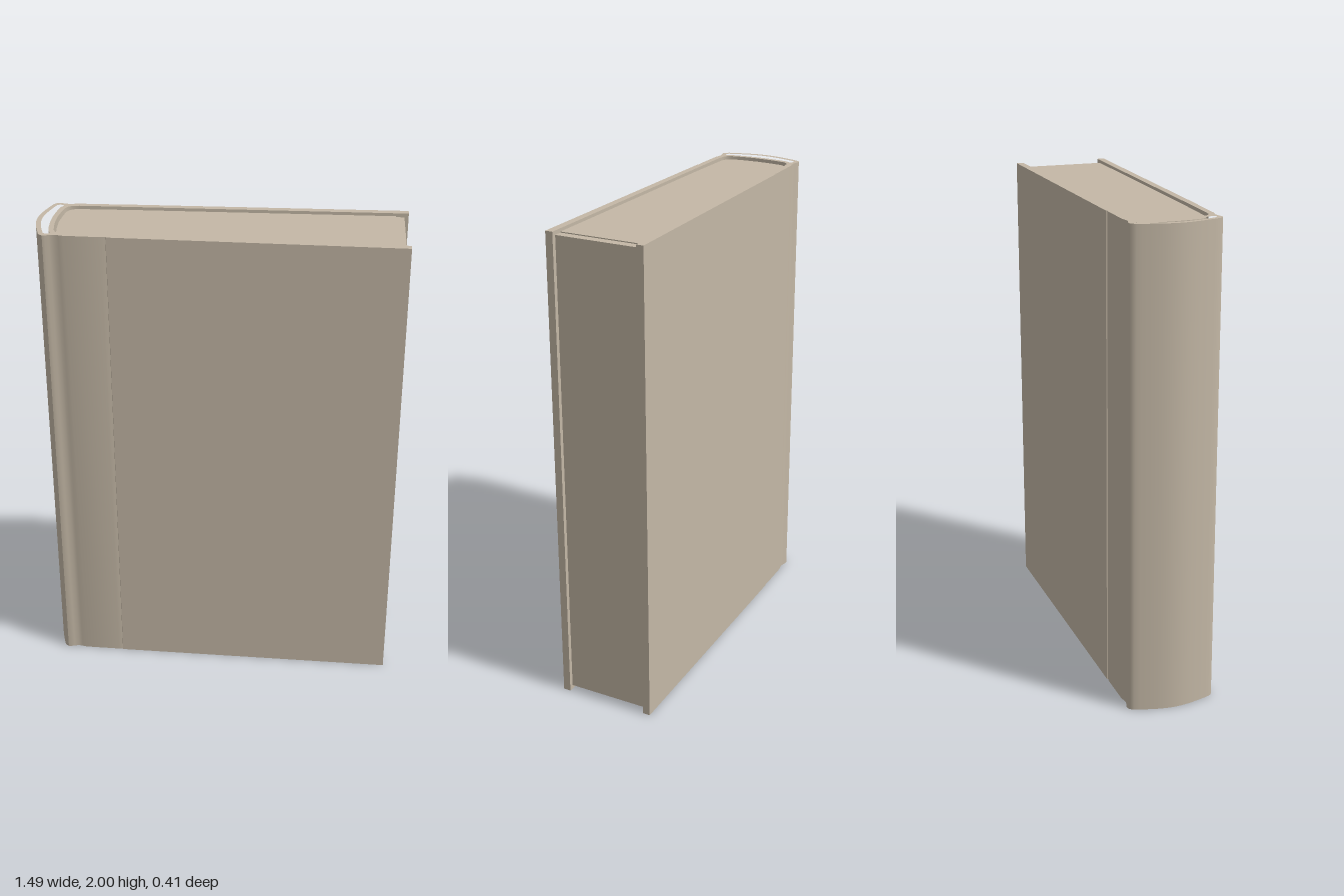
import * as THREE from 'three';
import { toCreasedNormals } from 'three/addons/utils/BufferGeometryUtils.js';

const ZC = -0.003; // slight offset of the centre plane

// Mirror a half outline (starting on the centre line) to a closed loop
function mirrored(half) {
  const other = half.filter(([, z]) => z > 0).reverse().map(([x, z]) => [x, -z]);
  return [...half, ...other].map(([x, z]) => new THREE.Vector2(x, z));
}

// Extrude a plan outline upwards from y0 to y1
function upright(name, shape, y0, y1, material) {
  let geo = new THREE.ExtrudeGeometry(shape, { depth: y1 - y0, bevelEnabled: false });
  geo.rotateX(-Math.PI / 2);
  geo.translate(0, y0, ZC);
  geo = toCreasedNormals(geo, 0.55);
  const mesh = new THREE.Mesh(geo, material);
  mesh.name = name;
  return mesh;
}

export function createModel() {
  const book = new THREE.Group();
  book.name = 'book';
  const tan = new THREE.MeshStandardMaterial({ color: 0xc4b8a6 });
  tan.name = 'tan';

  // Outside of the cover: rounded spine, hinge groove, cloth crease, board
  const outside = [
    [-0.745, 0], [-0.743, 0.035], [-0.737, 0.07], [-0.728, 0.107], [-0.718, 0.141],
    [-0.711, 0.163], [-0.703, 0.177], [-0.692, 0.184], [-0.68, 0.184], [-0.665, 0.179],
    [-0.645, 0.175], [-0.628, 0.178], [-0.61, 0.182], [-0.46, 0.185], [-0.442, 0.182],
    [-0.44, 0.187], [0.742, 0.207],
  ];
  // Inside of the cover, back along the board and round the page block
  const inside = [
    [0.742, 0.176], [-0.6, 0.157], [-0.628, 0.153], [-0.645, 0.143],
    [-0.655, 0.125], [-0.661, 0.09], [-0.666, 0.04],
  ];
  const half = [...outside, ...inside];
  const cover = new THREE.Shape([
    ...half.map(([x, z]) => new THREE.Vector2(x, z)),
    new THREE.Vector2(-0.667, 0),
    ...half.slice(1).reverse().map(([x, z]) => new THREE.Vector2(x, -z)),
  ]);

  // Hollow between the spine and its lining
  const hollow = [
    [-0.725, 0], [-0.723, 0.035], [-0.717, 0.07], [-0.708, 0.107], [-0.699, 0.138],
    [-0.692, 0.158], [-0.682, 0.164], [-0.67, 0.161], [-0.663, 0.153],
    [-0.674, 0.135], [-0.681, 0.095], [-0.686, 0.04], [-0.687, 0],
  ];
  cover.holes.push(new THREE.Path(mirrored(hollow)));
  book.add(upright('cover', cover, 0, 2, tan));

  // Page block with a rounded back
  const pages = mirrored([
    [-0.658, 0], [-0.654, 0.07], [-0.648, 0.115], [-0.638, 0.136], [-0.62, 0.147],
    [-0.595, 0.151], [-0.36, 0.158], [0.69, 0.174], [0.69, 0],
  ]);
  book.add(upright('pages', new THREE.Shape(pages), 0.014, 1.988, tan));

  // Fore edge of the pages, a little lower than the block
  const foreEdge = mirrored([[0.69, 0], [0.69, 0.1745], [0.725, 0.175], [0.725, 0]]);
  book.add(upright('foreEdge', new THREE.Shape(foreEdge), 0.018, 1.984, tan));

  return book;
}
